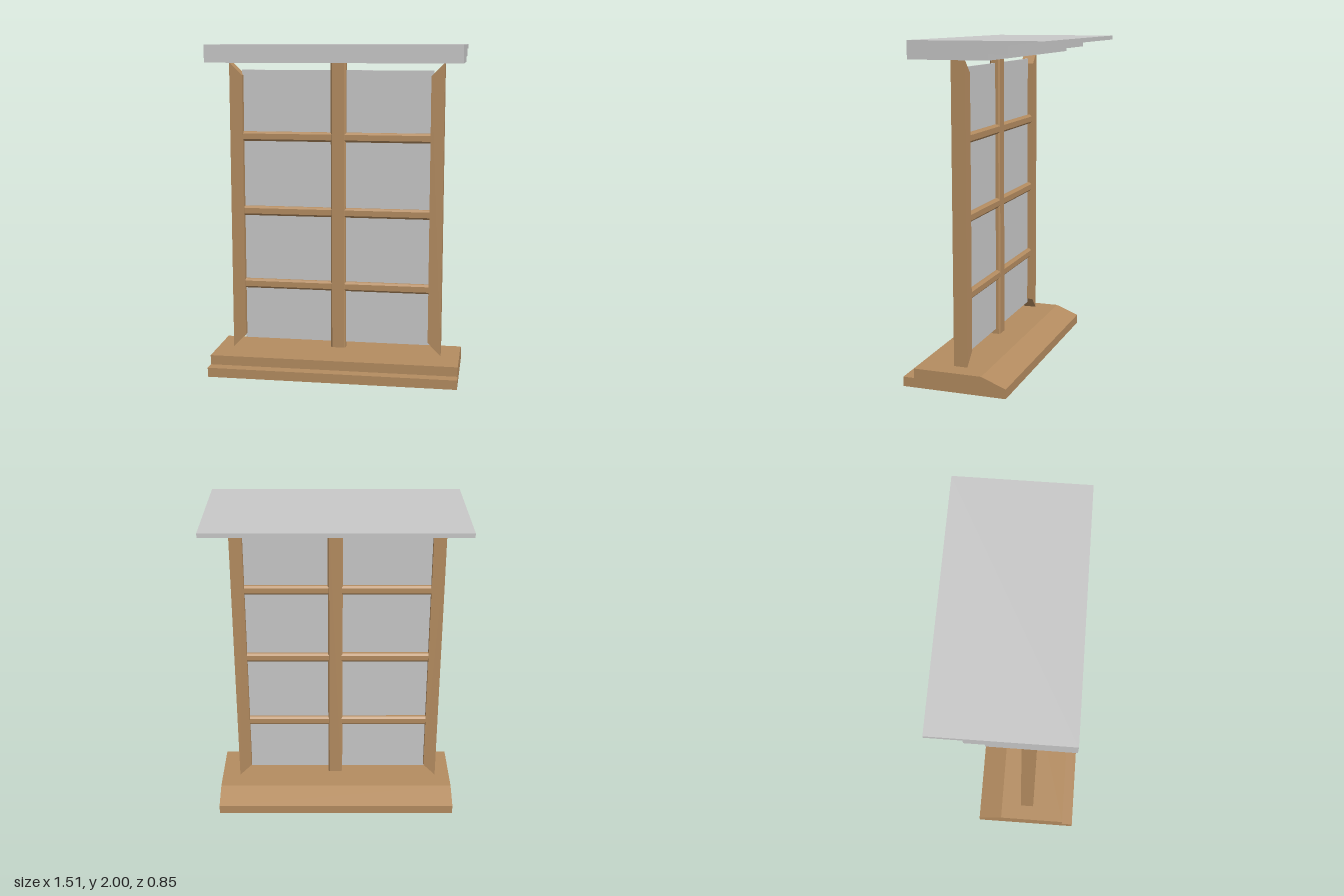
import * as THREE from 'three';

export function createModel() {
  const model = new THREE.Group();
  model.name = 'window';

  const wood = new THREE.MeshStandardMaterial({ color: 0xb48c60 });
  wood.name = 'wood';
  const grey = new THREE.MeshStandardMaterial({ color: 0xc8c8c8 });
  grey.name = 'pale grey';

  const extrude = (points, depth) => new THREE.ExtrudeGeometry(
    new THREE.Shape(points.map(([a, b]) => new THREE.Vector2(a, b))),
    { depth, bevelEnabled: false });

  const add = (name, geometry, material) => {
    const mesh = new THREE.Mesh(geometry, material);
    mesh.name = name;
    model.add(mesh);
    return mesh;
  };

  // Sweeps a [z, y] profile along x from x0 to x1
  const sweepX = (profile, x0, x1) =>
    extrude(profile.map(([z, y]) => [-z, y]), x1 - x0).rotateY(Math.PI / 2).translate(x0, 0, 0);

  // Rectangle outline with chamfered corners
  const chamfered = (a0, a1, b0, b1, c) => [
    [a0 + c, b0], [a1 - c, b0], [a1, b0 + c], [a1, b1 - c],
    [a1 - c, b1], [a0 + c, b1], [a0, b1 - c], [a0, b0 + c],
  ];

  // Sill with a front step and a sloping back
  add('sill', sweepX([
    [0.427, 0], [0.427, 0.057], [0.358, 0.057], [0.358, 0.115],
    [-0.058, 0.115], [-0.207, 0.057], [-0.207, 0],
  ], -0.755, 0.755), wood);

  // Lintel stepping up towards the back
  add('lintel', sweepX([
    [0.365, 1.895], [0.365, 2], [-0.427, 2], [-0.427, 1.974],
    [-0.225, 1.974], [-0.225, 1.927], [-0.112, 1.927], [-0.112, 1.895],
  ], -0.755, 0.755), grey);

  // Side posts with mitred ends on the inner edge
  for (const [name, outer, inner] of [['leftPost', 0.64, 0.561], ['rightPost', -0.661, -0.583]]) {
    const geometry = extrude([
      [outer, 0.115], [outer, 1.895], [inner, 1.817], [inner, 0.193],
    ], 0.084).translate(0, 0, 0.07);
    add(name, geometry, wood);
  }

  // Glass sheet
  add('glass', new THREE.BoxGeometry(1.165, 1.68, 0.01).translate(-0.007, 1.008, 0.112), grey);

  // Upright glazing bar
  add('centreBar', extrude(chamfered(-0.042, 0.05, 0.08, 0.144, 0.009), 1.76)
    .rotateX(Math.PI / 2).scale(1, 1, 1).translate(0, 1.895, 0), wood);

  // Cross glazing bars, two per row
  for (const y of [0.495, 0.956, 1.417]) {
    const profile = chamfered(0.08, 0.144, y, y + 0.058, 0.012);
    add('rightCrossBar', sweepX(profile, -0.583, -0.036), wood);
    add('leftCrossBar', sweepX(profile, 0.044, 0.561), wood);
  }

  return model;
}
